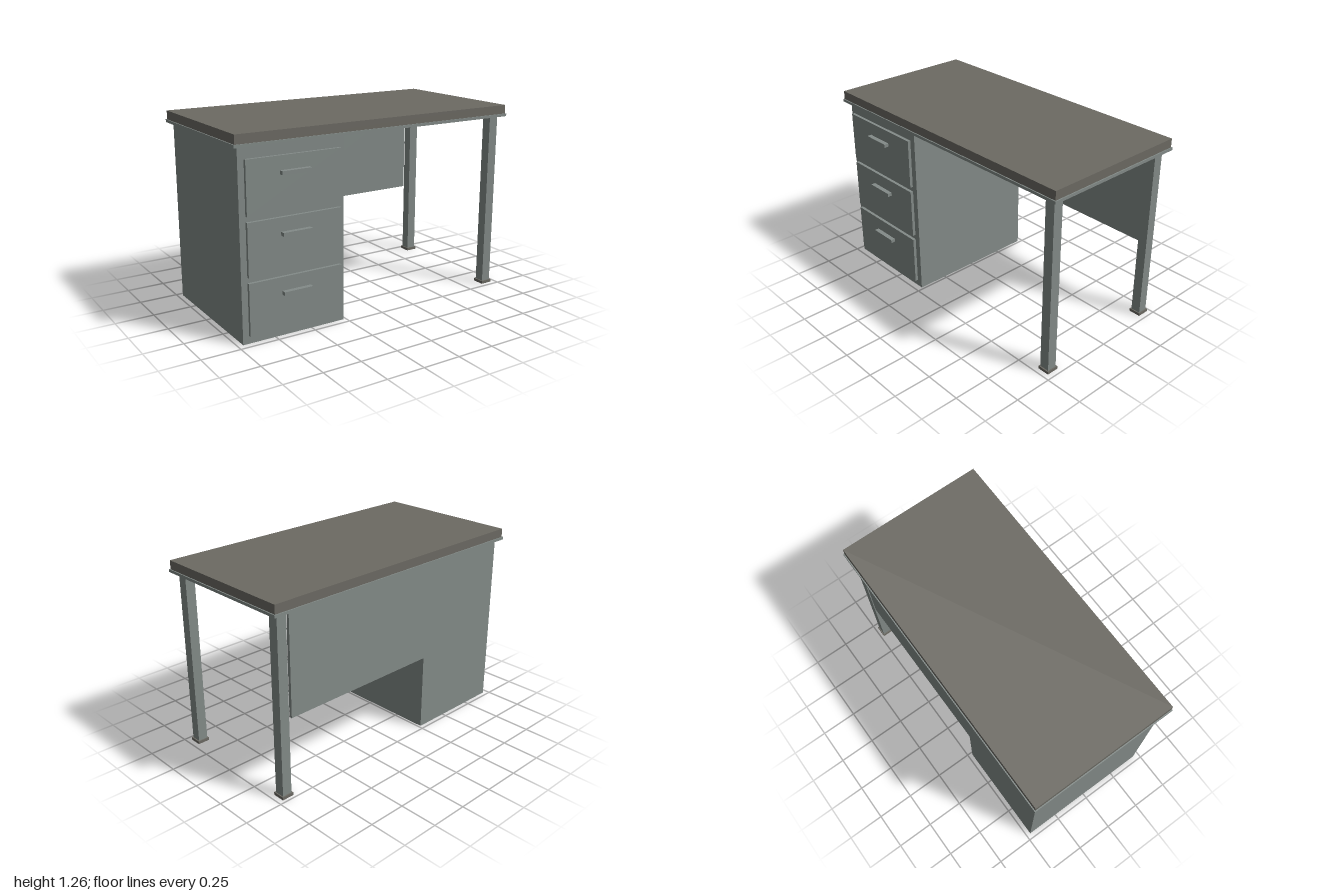
import * as THREE from 'three';

export function createModel() {
  const desk = new THREE.Group();
  desk.name = 'desk';

  const steel = new THREE.MeshStandardMaterial({ color: 0x838b88 });
  steel.name = 'grey green steel';
  const dark = new THREE.MeshStandardMaterial({ color: 0x6c6a63 });
  dark.name = 'brown grey laminate';

  // Box given by its [min, max] extent on each axis
  function box(name, material, [x0, x1], [y0, y1], [z0, z1]) {
    const geometry = new THREE.BoxGeometry(x1 - x0, y1 - y0, z1 - z0);
    const mesh = new THREE.Mesh(geometry, material);
    mesh.position.set((x0 + x1) / 2, (y0 + y1) / 2, (z0 + z1) / 2);
    mesh.name = name;
    desk.add(mesh);
  }

  // Top slab on a slightly wider trim
  box('desktop', dark, [-0.993, 0.993], [1.2, 1.257], [-0.503, 0.49]);
  box('desktopTrim', steel, [-1, 1], [1.182, 1.2], [-0.51, 0.497]);

  // Drawer pedestal and rear modesty panel
  box('pedestal', steel, [-0.965, -0.267], [0, 1.175], [-0.47, 0.457]);
  box('modestyPanel', steel, [-0.267, 0.872], [0.515, 1.175], [-0.47, -0.45]);

  // Three drawers with bar handles
  for (let i = 0; i < 3; i++) {
    const y = 0.051 + i * 0.364;
    box('drawerFront', steel, [-0.928, -0.3], [y, y + 0.33], [0.463, 0.483]);
    box('drawerHandle', steel, [-0.713, -0.519], [y + 0.221, y + 0.244], [0.483, 0.514]);
  }

  // Two square legs with feet
  for (const z of [0.425, -0.438]) {
    box('leg', steel, [0.892, 0.957], [0.019, 1.175], [z - 0.0325, z + 0.0325]);
    box('foot', dark, [0.884, 0.965], [0, 0.019], [z - 0.0405, z + 0.0405]);
  }

  return desk;
}
